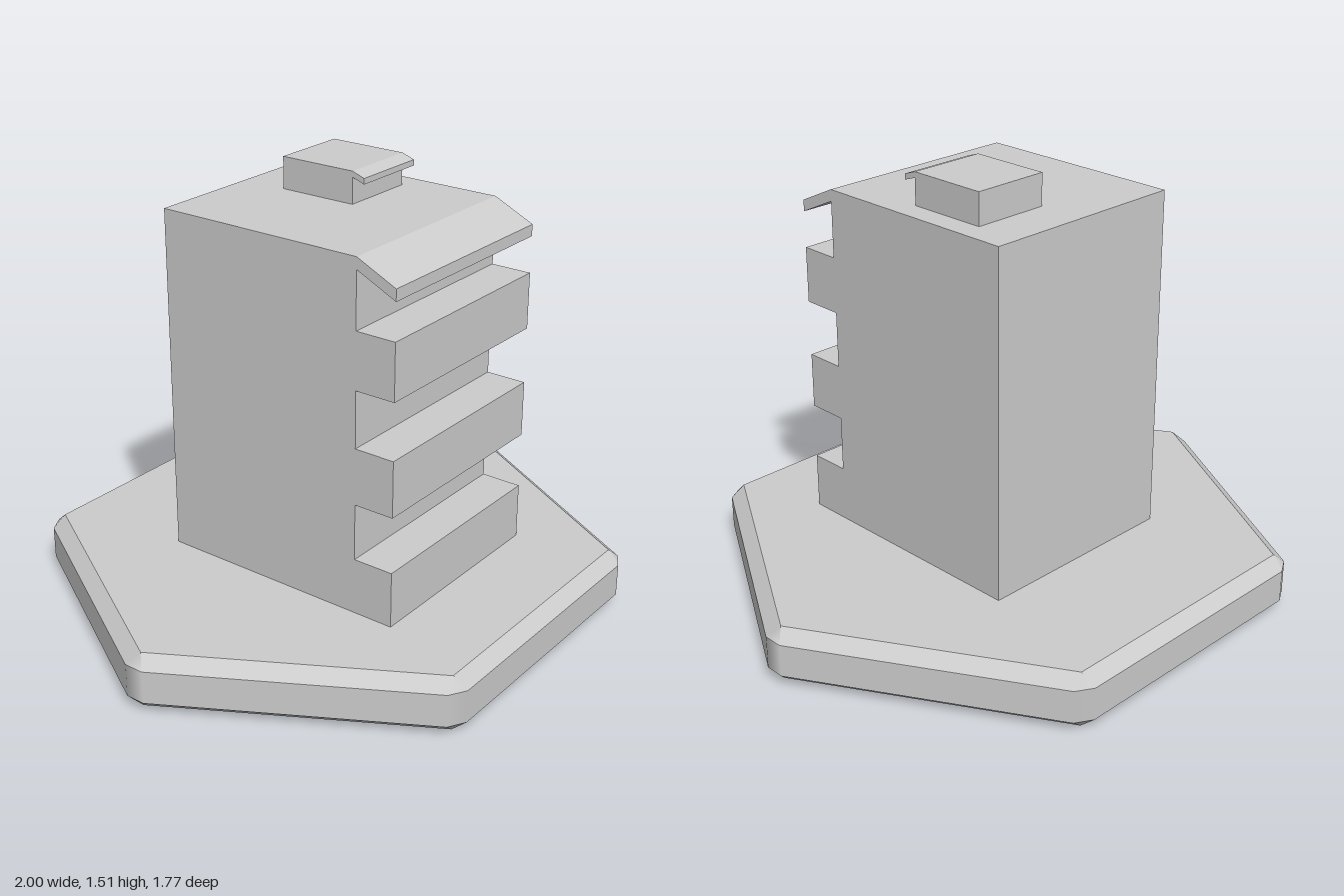
import * as THREE from 'three';

const grey = new THREE.MeshStandardMaterial({ color: 0xcccccc });

// Solid with a side profile of [z, y] points, spanning x0 to x1
function profileSolid(name, points, x0, x1) {
  const shape = new THREE.Shape(points.map(([z, y]) => new THREE.Vector2(z, y)));
  const geometry = new THREE.ExtrudeGeometry(shape, { depth: x1 - x0, bevelEnabled: false });
  geometry.rotateY(-Math.PI / 2).translate(x1, 0, 0);
  const mesh = new THREE.Mesh(geometry, grey);
  mesh.name = name;
  return mesh;
}

// Hexagonal plinth: two points per corner, bevelled above and below
function hexBase() {
  const pos = [], nor = [], index = [];
  const rings = [[0, 0.965, 0], [0.04, 1, 0.034], [0.155, 1, 0.034], [0.195, 0.965, 0]];
  const corner = ([y, r, w], i) => {
    const a = Math.floor(i / 2) * Math.PI / 3, z = i % 2 ? w : -w;
    return [r * Math.cos(a) - z * Math.sin(a), y, r * Math.sin(a) + z * Math.cos(a)];
  };
  // Side bands: corners blend between the normals of the neighbouring sides
  for (let b = 0; b < 3; b++) {
    const start = pos.length / 3, tilt = (b - 1) * 0.76, flat = Math.sqrt(1 - tilt * tilt);
    for (let i = 0; i < 12; i++) {
      const a = Math.floor(i / 2) * Math.PI / 3 + (i % 2 ? 1 : -1) * Math.PI / 6;
      for (const ring of [rings[b], rings[b + 1]]) {
        pos.push(...corner(ring, i));
        nor.push(flat * Math.cos(a), tilt, flat * Math.sin(a));
      }
      const p = start + 2 * i, q = start + 2 * ((i + 1) % 12);
      index.push(p, p + 1, q + 1, p, q + 1, q);
    }
  }
  // Flat top and bottom
  for (const [ring, up] of [[rings[3], 1], [rings[0], -1]]) {
    const start = pos.length / 3;
    for (let k = 0; k < 6; k++) {
      pos.push(...corner(ring, 2 * k));
      nor.push(0, up, 0);
    }
    for (let k = 1; k < 5; k++) {
      index.push(start, start + (up > 0 ? k + 1 : k), start + (up > 0 ? k : k + 1));
    }
  }
  const geometry = new THREE.BufferGeometry();
  geometry.setAttribute('position', new THREE.Float32BufferAttribute(pos, 3));
  geometry.setAttribute('normal', new THREE.Float32BufferAttribute(nor, 3));
  geometry.setIndex(index);
  const mesh = new THREE.Mesh(geometry, grey);
  mesh.name = 'hexBase';
  return mesh;
}

export function createModel() {
  const group = new THREE.Group();
  group.name = 'building';
  group.add(hexBase());

  // Block with a sloping front canopy and three projecting balconies
  const back = -0.38, wall = 0.384, front = 0.528;
  const block = [[back, 0.19], [back, 1.404], [wall, 1.404], [front, 1.336], [front, 1.296], [wall, 1.364]];
  for (const top of [1.17, 0.78, 0.39]) {
    const bottom = top > 0.5 ? top - 0.195 : 0.19;
    block.push([wall, top], [front, top], [front, bottom]);
    if (top > 0.5) block.push([wall, bottom]);
  }
  group.add(profileSolid('tower', block.reverse(), -0.378, 0.378));

  // Small roof hut with its own canopy
  group.add(profileSolid('roofHut', [
    [-0.214, 1.4], [0.07, 1.4], [0.07, 1.494], [0.116, 1.478],
    [0.116, 1.498], [0.07, 1.514], [-0.214, 1.514],
  ], 0.02, 0.295));
  return group;
}
